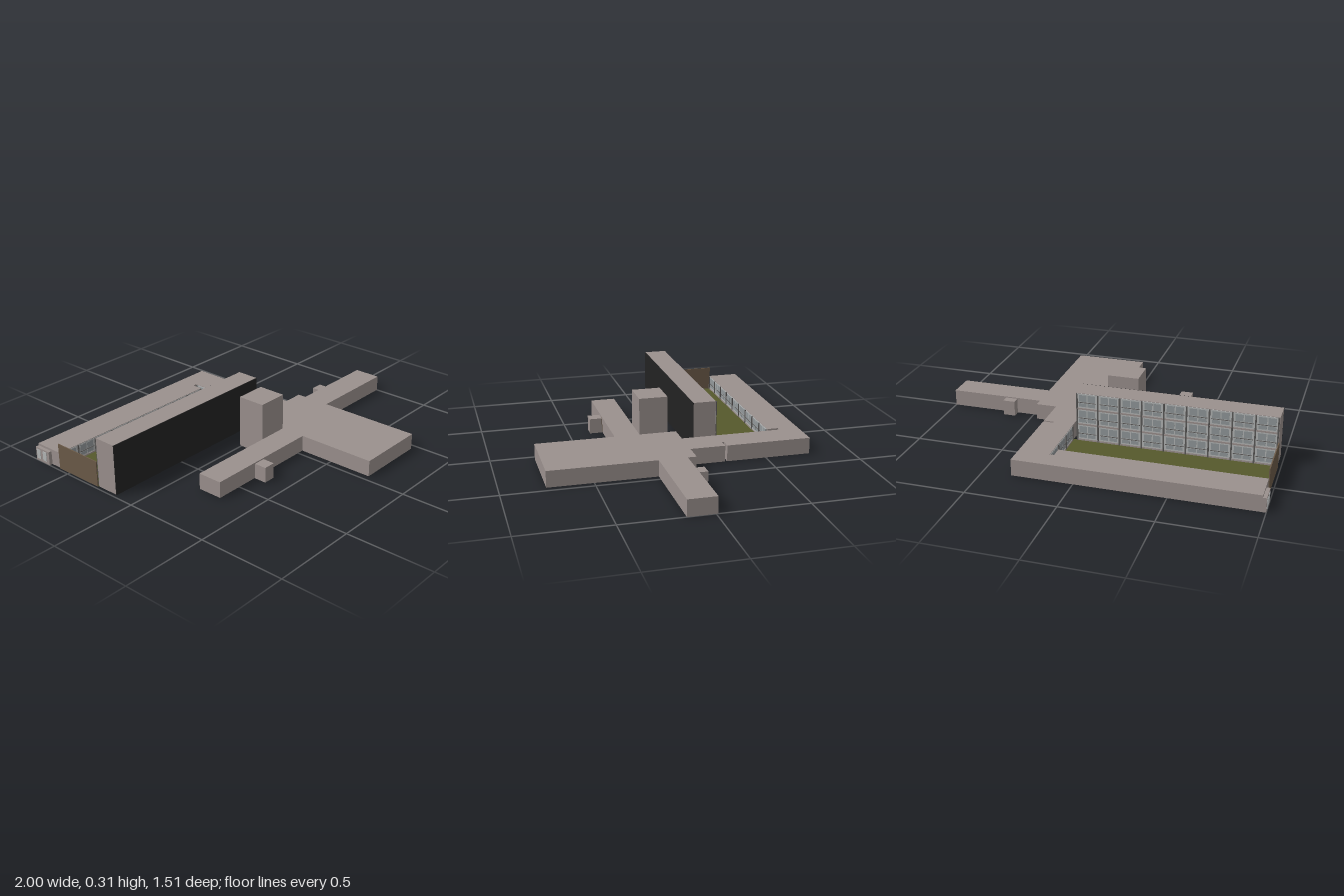
import * as THREE from 'three';

const mat = (name, color) => {
  const m = new THREE.MeshStandardMaterial({ color });
  m.name = name;
  return m;
};

export function createModel() {
  const grey = mat('wallGrey', 0x9a908d);
  const brown = mat('earthBrown', 0x6b5a48);
  const black = mat('darkCladding', 0x222222);
  const green = mat('lawnGreen', 0x55592c);
  const light = mat('frameLight', 0xb4b6b6);
  const glass = mat('glassGrey', 0x92989a);
  const dark = mat('mullionGrey', 0x5c5a59);

  const model = new THREE.Group();
  model.name = 'buildingComplex';
  const H = 0.093;

  // Box given by its extents
  function block(name, x0, x1, y0, y1, z0, z1, material, parent = model) {
    const mesh = new THREE.Mesh(new THREE.BoxGeometry(x1 - x0, y1 - y0, z1 - z0), material);
    mesh.position.set((x0 + x1) / 2, (y0 + y1) / 2, (z0 + z1) / 2);
    mesh.name = name;
    parent.add(mesh);
    return mesh;
  }
  // Face order: +x, -x, top, bottom, front, back
  const brownBase = [grey, grey, grey, brown, grey, grey];

  // Low wings with brown undersides
  [
    ['mainHall', 0.04, 0.46, -0.06, 0.755],
    ['leftWing', 0.46, 1, -0.01, 0.15],
    ['rightWing', -0.65, 0.04, 0.155, 0.3],
    ['connector', 0.165, 0.34, -0.26, -0.06],
    ['connectorNeck', 0.165, 0.28, -0.272, -0.26],
    ['courtyardSideWing', 0.165, 0.34, -0.76, -0.272],
  ].forEach(([n, x0, x1, z0, z1]) => block(n, x0, x1, 0, H, z0, z1, brownBase));

  // Tower and entrance porches
  block('tower', -0.14, 0.04, 0, 0.305, -0.01, 0.155, brownBase);
  block('rearPorch', 0.6, 0.67, 0, H - 0.004, -0.06, -0.014, grey);
  block('rearPorchDoor', 0.605, 0.665, 0, H - 0.01, -0.014, -0.01, brown);
  block('frontPorch', -0.375, -0.305, 0, H - 0.004, 0.304, 0.375, grey);
  block('frontPorchDoor', -0.37, -0.31, 0, H - 0.01, 0.3, 0.304, brown);

  // Rear wing around the courtyard
  block('rearWing', -0.98, 0.14, 0, H, -0.76, -0.58, grey);
  block('rearWingCorner', 0.14, 0.165, 0, H, -0.76, -0.645, grey);
  block('rearWingEndBay', -1, -0.98, 0, 0.08, -0.76, -0.65, grey);
  for (const z of [-0.735, -0.685]) {
    block('endBayWindow', -1.003, -1, 0.015, 0.07, z - 0.015, z + 0.015, light);
  }

  // Tall slab with dark front cladding
  block('tallSlab', -0.98, 0.145, 0.002, 0.29, -0.264, -0.134,
    [grey, grey, grey, light, grey, grey]);
  block('slabCladding', -0.98, 0.145, 0, 0.289, -0.134, -0.13, black);

  // Courtyard lawn and boundary wall
  block('lawn', -0.98, 0.165, 0, 0.005, -0.58, -0.264, green);
  block('lawnCorner', 0.14, 0.165, 0, 0.005, -0.645, -0.58, green);
  block('boundaryWall', -0.985, -0.979, 0, 0.15, -0.58, -0.272, brown);

  // Window wall built in its own plane, facing +z from z = 0
  function facade(name, width, height, bays, floors) {
    const g = new THREE.Group();
    g.name = name;
    const bw = width / bays, fh = height / floors;
    block('windowFrames', 0, width, 0, height, 0, 0.002, light, g);
    for (let f = 0; f < floors; f++) {
      const y = f * fh;
      block('floorBand', 0, width, y, y + fh * 0.1, 0, 0.005, grey, g);
      for (let b = 0; b < bays; b++) {
        const x = b * bw;
        for (let p = 0; p < 2; p++) {
          const px = x + bw * (0.12 + p * 0.4);
          block('lowerPane', px, px + bw * 0.35, y + fh * 0.18, y + fh * 0.4, 0, 0.003, glass, g);
          block('upperPane', px, px + bw * 0.35, y + fh * 0.5, y + fh * 0.92, 0, 0.003, glass, g);
        }
        block('sill', x + bw * 0.08, x + bw * 0.92, y + fh * 0.43, y + fh * 0.47, 0, 0.004, dark, g);
      }
    }
    for (let b = 0; b <= bays; b++) {
      const x = Math.min(Math.max(b * bw, 0.004), width - 0.004);
      block('mullion', x - 0.004, x + 0.004, 0, height, 0, 0.007, dark, g);
    }
    model.add(g);
    return g;
  }

  const slabWindows = facade('slabWindows', 1.121, 0.283, 9, 3);
  slabWindows.rotation.y = Math.PI;
  slabWindows.position.set(0.143, 0.005, -0.264);

  const rearWindows = facade('rearWingWindows', 1.11, 0.085, 9, 1);
  rearWindows.position.set(-0.975, 0.005, -0.58);

  const sideWindows = facade('sideWingWindows', 0.36, 0.085, 3, 1);
  sideWindows.rotation.y = -Math.PI / 2;
  sideWindows.position.set(0.165, 0.005, -0.64);

  return model;
}
